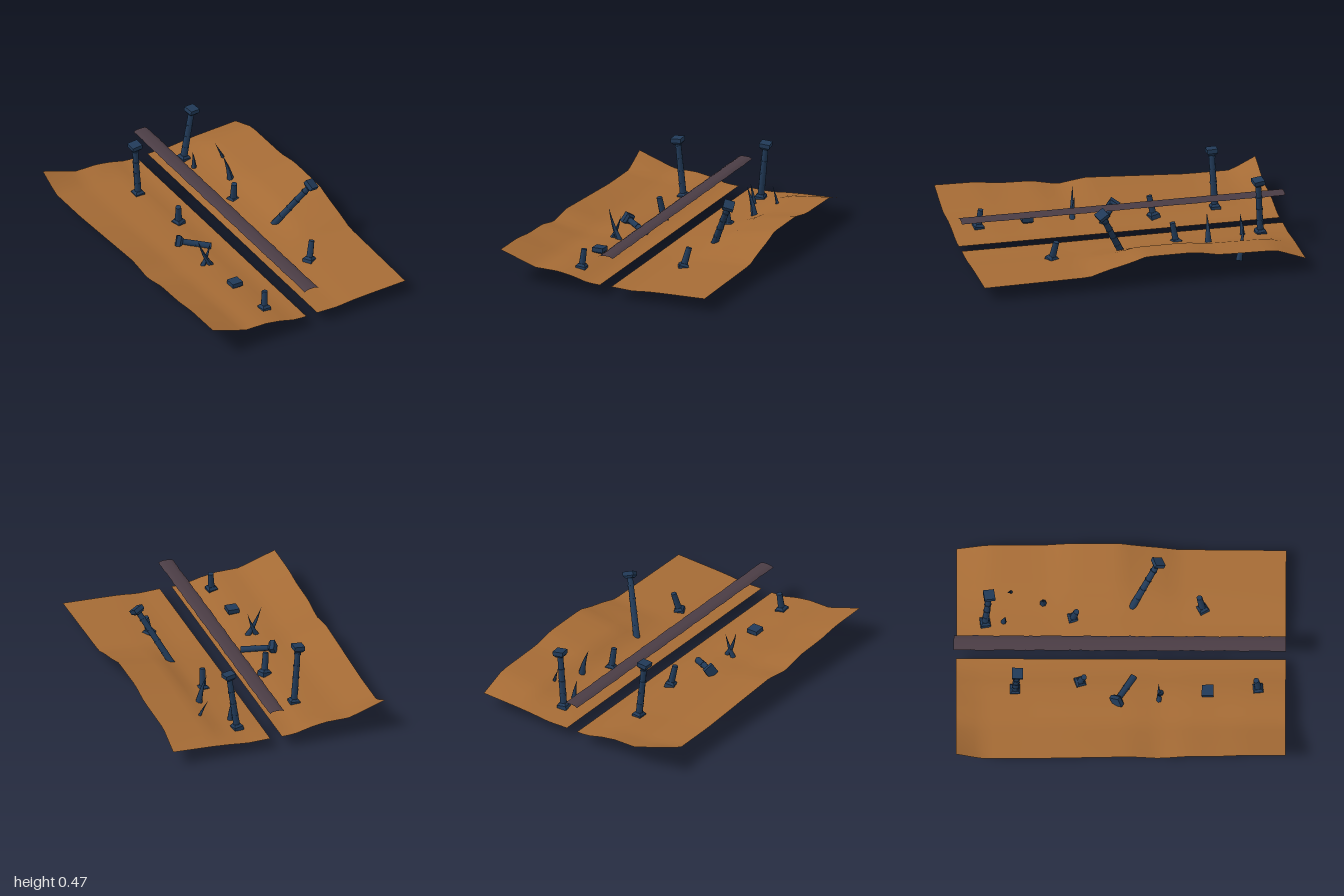
import * as THREE from 'three';

const material = (name, color) => Object.assign(new THREE.MeshStandardMaterial({ color }), { name });
const lerp = THREE.MathUtils.lerp;

// Piecewise linear lookup in a list of [position, value]
function sample(points, t) {
  if (t <= points[0][0]) return points[0][1];
  for (let i = 1; i < points.length; i++) {
    const [a, va] = points[i - 1], [b, vb] = points[i];
    if (t <= b) return lerp(va, vb, (t - a) / (b - a));
  }
  return points[points.length - 1][1];
}

export function createModel() {
  const group = new THREE.Group();
  const earth = material('brown earth', 0xa56b35);
  const iron = material('dark blue iron', 0x213a58);
  const plank = material('dark plum plank', 0x4a3c44);
  earth.side = plank.side = THREE.DoubleSide;

  const add = (parent, name, geometry, mat) => {
    const mesh = new THREE.Mesh(geometry, mat);
    mesh.name = name;
    parent.add(mesh);
    return mesh;
  };

  // Ground: two sheets whose cross-section is blended between a low and a raised profile
  function ground(name, x0, x1, rim, low, high) {
    const g = new THREE.PlaneGeometry(1, 1, 14, 36).rotateX(-Math.PI / 2);
    const p = g.attributes.position;
    for (let i = 0; i < p.count; i++) {
      const x = lerp(x0, x1, p.getX(i) + 0.5);
      const z = lerp(-0.985, 1, p.getZ(i) + 0.5);
      const ax = Math.abs(x);
      p.setXYZ(i, x, lerp(sample(low, ax), sample(high, ax), sample(rim, z)), z);
    }
    g.computeVertexNormals();
    add(group, name, g, earth);
  }
  ground('leftGround', -0.68, -0.02,
    [[-0.985, 1], [-0.83, 0.1], [-0.55, 0.12], [-0.29, 0.3], [0.07, 0.55], [0.24, 0.25],
      [0.4, 0.65], [0.6, 0.72], [0.75, 0.95], [1, 1]],
    [[0.02, 0.075], [0.1, 0.07], [0.2, 0.09], [0.3, 0.09], [0.45, 0.09], [0.68, 0.12]],
    [[0.02, 0.075], [0.1, 0.078], [0.2, 0.105], [0.3, 0.122], [0.45, 0.125], [0.68, 0.205]]);
  ground('rightGround', 0.055, 0.675,
    [[-0.985, 0.1], [-0.8, 0.7], [-0.45, 0.75], [-0.3, 1], [0, 1], [0.1, 0.72],
      [0.25, 0.4], [0.35, 0.12], [1, 0.04]],
    [[0.055, 0.075], [0.2, 0.068], [0.3, 0.078], [0.4, 0.08], [0.675, 0.085]],
    [[0.055, 0.077], [0.15, 0.088], [0.3, 0.105], [0.41, 0.155], [0.675, 0.2]]);

  // Raised plank: shallow arch with a slightly ragged outline
  const strip = new THREE.PlaneGeometry(0.094, 2, 6, 60).rotateX(-Math.PI / 2);
  const sp = strip.attributes.position;
  for (let i = 0; i < sp.count; i++) {
    const x = sp.getX(i), u = x / 0.047, z = sp.getZ(i);
    const ragged = 0.003 * Math.sin(z * 71) * Math.sin(z * 43 + u);
    sp.setXYZ(i, x + 0.016 + ragged * u * u, 0.265 - 0.011 * u ** 4, z);
  }
  strip.computeVertexNormals();
  add(group, 'plank', strip, plank);

  // Group standing at "from" with its y axis pointing at "to"
  function along(name, from, to, spin = 0) {
    const a = new THREE.Vector3(...from), dir = new THREE.Vector3(...to).sub(a);
    const holder = new THREE.Group();
    holder.name = name;
    holder.position.copy(a);
    holder.quaternion.setFromUnitVectors(new THREE.Vector3(0, 1, 0), dir.clone().normalize());
    holder.rotateY(spin);
    group.add(holder);
    return [holder, dir.length()];
  }

  // Square block with a tapered neck; sign points the neck up or down
  function block(parent, y, size, sign) {
    add(parent, 'block', new THREE.BoxGeometry(size, 0.026, size), iron).position.y = y;
    const top = size * (sign > 0 ? 0.46 : 0.7), bottom = size * (sign > 0 ? 0.7 : 0.46);
    const neck = new THREE.CylinderGeometry(top, bottom, 0.014, 4).rotateY(Math.PI / 4).toNonIndexed();
    neck.computeVertexNormals();
    add(parent, 'neck', neck, iron).position.y = y + sign * 0.02;
  }

  // Post: octagonal shaft with thin bands, optional foot and head blocks
  function post(name, from, to, { foot = true, head = false, spin = 0, r = 0.02 } = {}) {
    const [holder, length] = along(name, from, to, spin);
    const shaft = new THREE.CylinderGeometry(r * 0.88, r * 1.08, length, 8);
    add(holder, 'shaft', shaft, iron).position.y = length / 2;
    for (let y = 0.09; y < length - 0.05; y += 0.08)
      add(holder, 'band', new THREE.CylinderGeometry(r * 1.1, r * 1.13, 0.008, 8), iron).position.y = y;
    if (foot) block(holder, 0.005, 0.06, 1);
    if (head) block(holder, length - 0.013, 0.066, -1);
  }
  post('tallPostLeft', [-0.222, 0.085, -0.63], [-0.255, 0.468, -0.615], { head: true });
  post('tallPostRight', [0.205, 0.085, -0.812], [0.252, 0.455, -0.787], { head: true, spin: 0.15 });
  post('leaningPost', [0.305, 0.085, 0.07], [0.482, 0.42, 0.235], { foot: false, head: true, spin: 0.3 });
  post('fallenPost', [-0.14, 0.095, 0.085], [-0.32, 0.135, -0.025], { foot: false, head: true, r: 0.019 });

  // Broken stubs
  post('stub', [0.238, 0.078, -0.285], [0.232, 0.215, -0.262], { spin: 0.25 });
  post('stub', [-0.172, 0.088, -0.24], [-0.19, 0.222, -0.215], { spin: 0.3 });
  post('stub', [-0.218, 0.1, 0.835], [-0.207, 0.222, 0.822], { spin: 0.1 });
  post('stub', [0.3, 0.072, 0.5], [0.33, 0.2, 0.478], { spin: 0.5 });

  // Loose square block
  const [loose] = along('looseBlock', [-0.24, 0.125, 0.53], [-0.24, 0, 0.535]);
  block(loose, 0, 0.07, 1);

  // Thorns: thin cones bent slightly toward the tip
  function thorn(from, to, r, bend) {
    const [holder, length] = along('thorn', from, to);
    const g = new THREE.ConeGeometry(r, length, 7, 6).translate(0, length / 2, 0);
    const p = g.attributes.position;
    for (let i = 0; i < p.count; i++)
      p.setX(i, p.getX(i) + bend * Math.sin(Math.PI * p.getY(i) / length));
    g.computeVertexNormals();
    add(holder, 'spike', g, iron);
  }
  thorn([-0.232, 0.075, 0.25], [-0.32, 0.28, 0.228], 0.02, -0.008);
  thorn([-0.305, 0.065, 0.238], [-0.235, 0.24, 0.235], 0.02, 0.006);
  thorn([0.33, 0.075, -0.462], [0.275, 0.282, -0.465], 0.025, 0.008);
  thorn([0.42, 0.01, -0.63], [0.345, 0.23, -0.68], 0.021, 0.008);
  thorn([0.212, 0.06, -0.702], [0.195, 0.215, -0.69], 0.02, 0.005);

  return group;
}
